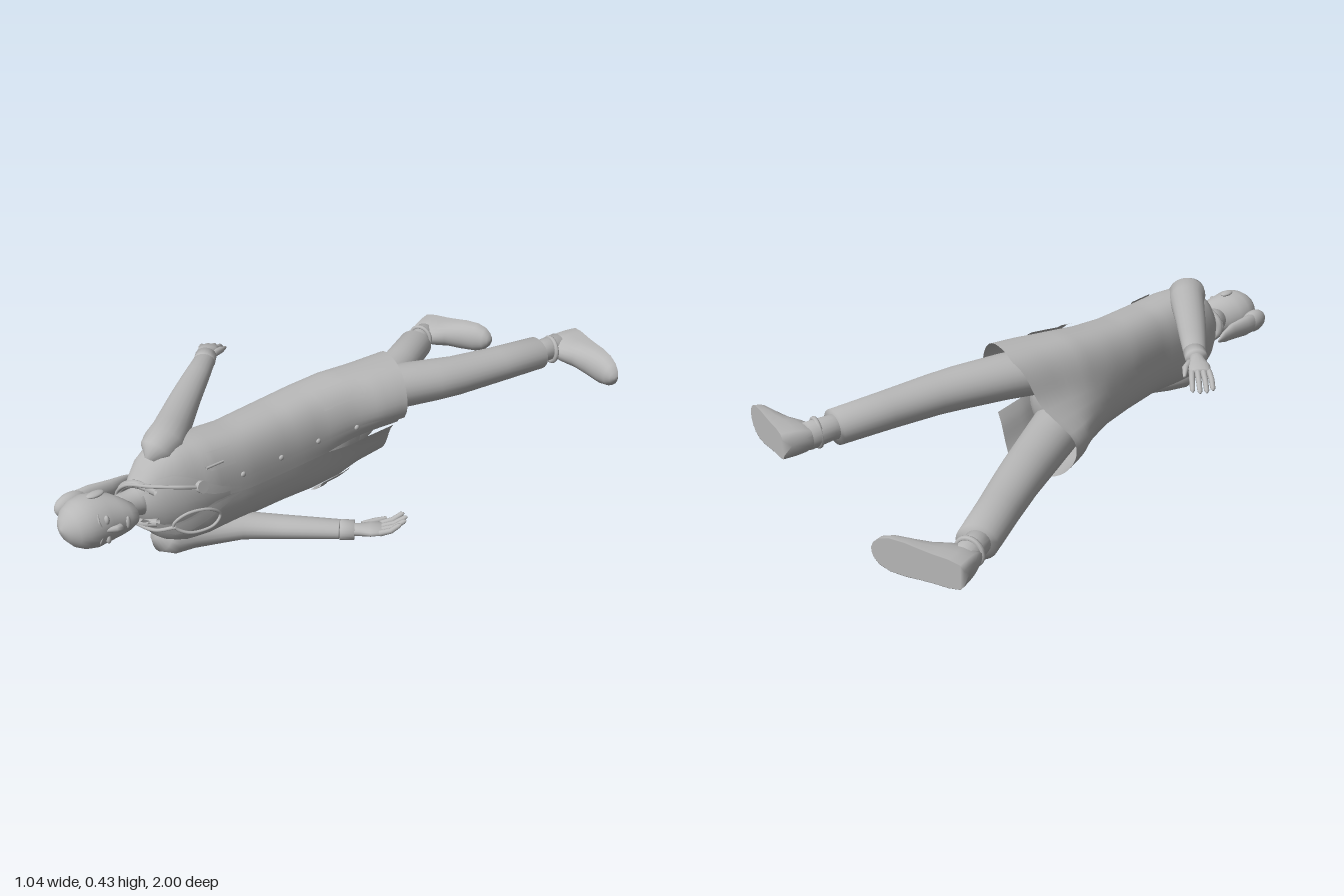
import * as THREE from 'three';

const V = (x, y, z) => new THREE.Vector3(x, y, z);
const plaster = new THREE.MeshStandardMaterial({ color: 0xb8b8b8, side: THREE.DoubleSide });
plaster.name = 'grey plaster';

// Skin a list of equal-length rings; closed rings wrap round, caps fill both ends
function skin(rings, closed = true, caps = true) {
  const n = rings[0].length, pos = [], idx = [];
  rings.forEach(r => r.forEach(p => pos.push(p.x, p.y, p.z)));
  for (let i = 0; i < rings.length - 1; i++)
    for (let j = 0; j < (closed ? n : n - 1); j++) {
      const k = (j + 1) % n, a = i * n + j, b = i * n + k, c = b + n, d = a + n;
      idx.push(a, b, c, a, c, d);
    }
  if (caps) [0, rings.length - 1].forEach((r, end) => {
    const m = V(0, 0, 0);
    rings[r].forEach(p => m.addScaledVector(p, 1 / n));
    const c = pos.length / 3;
    pos.push(m.x, m.y, m.z);
    for (let j = 0; j < n; j++) {
      const a = r * n + j, b = r * n + (j + 1) % n;
      end ? idx.push(c, a, b) : idx.push(c, b, a);
    }
  });
  const g = new THREE.BufferGeometry();
  g.setAttribute('position', new THREE.Float32BufferAttribute(pos, 3));
  g.setIndex(idx);
  g.computeVertexNormals();
  return g;
}

// Tapered limb through points [x, y, z, radius, radius along y]
function limb(pts, sides = 20) {
  const c = pts.map(p => V(p[0], p[1], p[2]));
  return skin(c.map((p, i) => {
    const t = c[Math.min(i + 1, c.length - 1)].clone().sub(c[Math.max(i - 1, 0)]).normalize();
    const u = V(0, 1, 0).addScaledVector(t, -t.y).normalize(), v = t.clone().cross(u);
    const r = pts[i][3], ry = pts[i][4] ?? r;
    return Array.from({ length: sides }, (_, j) => {
      const a = j / sides * Math.PI * 2;
      return p.clone().addScaledVector(u, Math.cos(a) * ry).addScaledVector(v, Math.sin(a) * r);
    });
  }));
}

// Rings stacked along z: [z, centre x, half depth, half width]
const stack = (rows, n = 32) => skin(rows.map(([z, cx, hx, hy]) => Array.from({ length: n }, (_, j) => {
  const a = j / n * Math.PI * 2;
  return V(cx + hx * Math.cos(a), 0.22 + hy * Math.sin(a), z);
})));

// Coat sections: [z, centre x, half depth, half width, stride, front opening angle]
const COAT = [
  [-0.25, 0, 0.145, 0.205, 0.075, 0.12], [-0.12, 0, 0.137, 0.2, 0.055, 0.1], [0, 0.003, 0.13, 0.195, 0.025, 0.07],
  [0.12, 0.005, 0.122, 0.182, 0.005, 0.02], [0.25, 0.005, 0.12, 0.17, 0, 0.01], [0.42, 0.01, 0.115, 0.165, 0, 0.01],
  [0.55, 0.002, 0.113, 0.172, 0, 0.04], [0.64, -0.01, 0.1, 0.172, 0, 0.22], [0.69, -0.025, 0.088, 0.145, 0, 0.4],
  [0.72, -0.03, 0.07, 0.1, 0, 0.5], [0.75, -0.03, 0.05, 0.062, 0, 0.6]];
function coatRow(z) {
  let i = 0;
  while (i < COAT.length - 2 && z > COAT[i + 1][0]) i++;
  const t = (z - COAT[i][0]) / (COAT[i + 1][0] - COAT[i][0]);
  return COAT[i].map((v, k) => v + (COAT[i + 1][k] - v) * t);
}
const pw = v => Math.sign(v) * Math.abs(v) ** 0.8;
function coatPoint(z, a, off = 0) {
  const [, cx, hx, hy, s] = coatRow(z);
  const dy = (hy + off) * pw(Math.sin(a));
  const x = cx + (hx + off) * pw(Math.cos(a)) + s * Math.tanh(dy / 0.06);
  return V(x, 0.22 + dy, z + Math.abs(x) * 0.38 * THREE.MathUtils.smoothstep(0.05 - z, 0, 0.3));
}
// Piece of cloth lying on the coat between two heights and two angles
function cloth(z0, z1, f0, f1, off, nz = 8, na = 8) {
  const rings = [];
  for (let i = 0; i <= nz; i++) {
    const z = z0 + (z1 - z0) * i / nz, a0 = f0(z), a1 = f1(z);
    rings.push(Array.from({ length: na + 1 }, (_, j) => coatPoint(z, a0 + (a1 - a0) * j / na, off)));
  }
  return skin(rings, false, false);
}

export function createModel() {
  const root = new THREE.Group();
  const add = (name, geo, parent = root) => {
    const m = new THREE.Mesh(geo, plaster);
    m.name = name;
    parent.add(m);
    return m;
  };
  const ball = (name, x, y, z, sx, sy, sz) => {
    const m = add(name, new THREE.SphereGeometry(1, 20, 14));
    m.position.set(x, y, z);
    m.scale.set(sx, sy, sz);
    return m;
  };
  const tube = (name, pts, r, closed = false) =>
    add(name, new THREE.TubeGeometry(new THREE.CatmullRomCurve3(pts.map(p => V(...p)), closed), 48, r, 8, closed));

  // Head, neck and hair
  add('head', stack([[0.775, 0.018, 0.014, 0.016], [0.785, 0.015, 0.034, 0.034], [0.81, 0, 0.055, 0.054],
    [0.835, -0.017, 0.068, 0.069], [0.87, -0.03, 0.08, 0.078], [0.91, -0.035, 0.086, 0.083], [0.945, -0.037, 0.079, 0.075],
    [0.97, -0.038, 0.063, 0.06], [0.99, -0.04, 0.037, 0.035], [1, -0.04, 0.008, 0.008]]));
  add('neck', stack([[0.7, -0.03, 0.055, 0.06], [0.745, -0.03, 0.042, 0.044], [0.79, -0.03, 0.041, 0.042], [0.83, -0.03, 0.042, 0.045]]));
  ball('hairBun', -0.145, 0.22, 0.895, 0.033, 0.04, 0.06);
  add('ponytail', limb([[-0.15, 0.22, 0.9, 0.025, 0.035], [-0.15, 0.22, 0.83, 0.022, 0.036], [-0.143, 0.22, 0.76, 0.018, 0.03],
    [-0.15, 0.22, 0.7, 0.011, 0.02], [-0.157, 0.22, 0.66, 0.003, 0.005]]));
  // Face
  add('nose', limb([[0.043, 0.22, 0.9, 0.007], [0.056, 0.22, 0.87, 0.011], [0.058, 0.22, 0.858, 0.012], [0.045, 0.22, 0.85, 0.006]], 10));
  ball('lips', 0.05, 0.22, 0.825, 0.008, 0.021, 0.008);
  for (const s of [-1, 1]) {
    ball('eye', 0.042, 0.22 + s * 0.033, 0.892, 0.01, 0.015, 0.008);
    tube('eyebrow', [[0.046, 0.22 + s * 0.016, 0.912], [0.041, 0.22 + s * 0.034, 0.917], [0.027, 0.22 + s * 0.053, 0.912]], 0.003);
    ball('ear', -0.03, 0.22 + s * 0.083, 0.88, 0.016, 0.008, 0.03);
  }

  // Coat, lapels, pockets and buttons
  const gap = z => coatRow(z)[5];
  add('coat', cloth(-0.25, 0.75, gap, z => 2 * Math.PI - gap(z), 0, 40, 56));
  add('shirt', stack([[0.1, 0, 0.1, 0.15], [0.4, 0.005, 0.1, 0.15], [0.55, 0, 0.1, 0.15], [0.64, -0.012, 0.09, 0.145],
    [0.69, -0.027, 0.078, 0.12], [0.735, -0.03, 0.05, 0.06]]));
  for (const s of [-1, 1]) {
    add('lapel', cloth(0.46, 0.74, z => s * gap(z), z => s * (gap(z) + 0.3 * THREE.MathUtils.smoothstep(z, 0.44, 0.66)), 0.007));
    add('hipPocket', cloth(-0.05, 0.1, () => s * 0.75, () => s * 1.25, 0.006));
    add('pocketFlap', cloth(0.08, 0.11, () => s * 0.72, () => s * 1.28, 0.01));
  }
  add('frontPlacket', cloth(-0.22, 0.5, z => gap(z) - 0.04, z => gap(z) + 0.14, 0.004, 20));
  add('chestPocket', cloth(0.47, 0.56, () => 0.47, () => 0.9, 0.007));
  tube('pen', [[0.107, 0.33, 0.51], [0.107, 0.33, 0.575]], 0.004);
  for (const z of [0.45, 0.3, 0.15, 0]) {
    const p = coatPoint(z, 0.2, 0.005);
    ball('button', p.x, p.y, p.z, 0.006, 0.009, 0.009);
  }
  tube('collar', [[0.04, 0.275, 0.715], [-0.02, 0.287, 0.745], [-0.08, 0.25, 0.755], [-0.09, 0.22, 0.757], [-0.08, 0.19, 0.755],
    [-0.02, 0.153, 0.745], [0.04, 0.165, 0.715]], 0.013);

  // Stethoscope
  tube('stethoscopeTube', [[0.12, 0.285, 0.61], [0.1, 0.3, 0.67], [0.035, 0.297, 0.73], [-0.05, 0.275, 0.762], [-0.095, 0.22, 0.768],
    [-0.05, 0.165, 0.762], [0.035, 0.143, 0.73], [0.09, 0.16, 0.685]], 0.006);
  tube('stethoscopeLoop', [[0.085, 0.165, 0.69], [0.11, 0.205, 0.66], [0.133, 0.205, 0.59], [0.135, 0.17, 0.55],
    [0.132, 0.14, 0.575], [0.11, 0.135, 0.65]], 0.005, true);
  const disc = add('chestPiece', new THREE.CylinderGeometry(0.019, 0.019, 0.016, 20));
  disc.position.set(0.122, 0.285, 0.605);
  disc.rotation.z = Math.PI / 2 + 0.3;

  // Sleeves
  add('backSwingSleeve', limb([[-0.015, 0.345, 0.685, 0.02, 0.03], [-0.018, 0.365, 0.665, 0.055], [-0.03, 0.375, 0.63, 0.066, 0.06],
    [-0.07, 0.382, 0.575, 0.06, 0.052], [-0.21, 0.388, 0.41, 0.05, 0.038], [-0.3, 0.39, 0.3, 0.043, 0.033], [-0.37, 0.39, 0.215, 0.036, 0.028]]));
  add('frontSwingSleeve', limb([[-0.015, 0.095, 0.685, 0.02, 0.03], [-0.014, 0.075, 0.665, 0.055], [-0.008, 0.064, 0.63, 0.066, 0.062],
    [0.012, 0.058, 0.57, 0.06, 0.052], [0.085, 0.053, 0.43, 0.052, 0.042], [0.18, 0.052, 0.335, 0.045, 0.035], [0.31, 0.057, 0.22, 0.036, 0.029]]));

  // Hands: cuff, palm, four fingers and a thumb; sx is the reach along x, lift the finger curl
  function hand(name, wx, wy, wz, sx, rise, lift) {
    const g = new THREE.Group();
    g.name = name;
    root.add(g);
    const k = Math.SQRT1_2;
    const at = (f, w, h) => [wx + sx * k * (f - w), wy + h, wz - k * (f + w)];
    add('cuff', limb([[...at(-0.03, 0, 0), 0.037, 0.031], [...at(0.015, 0, 0), 0.036, 0.03]]), g);
    add('palm', limb([[...at(-0.01, 0, 0), 0.022, 0.02], [...at(0.03, 0, rise * 0.2), 0.025, 0.018],
      [...at(0.065, 0, rise * 0.6), 0.036, 0.017], [...at(0.1, 0, rise), 0.035, 0.013]], 16), g);
    [-0.027, -0.009, 0.009, 0.027].forEach((w, i) => {
      const len = [0.06, 0.075, 0.078, 0.068][i];
      add('finger', limb([[...at(0.095, w, rise), 0.01], [...at(0.1 + len * 0.5, w * 1.15, rise + lift * 0.35), 0.009],
        [...at(0.1 + len * 0.9, w * 1.2, rise + lift * 0.9), 0.008], [...at(0.1 + len, w * 1.2, rise + lift), 0.003]], 10), g);
    });
    add('thumb', limb([[...at(0.04, 0.025, rise * 0.4), 0.012], [...at(0.075, 0.044, rise * 0.6), 0.011],
      [...at(0.115, 0.052, rise + lift * 0.2), 0.005]], 10), g);
  }
  hand('backSwingHand', -0.385, 0.39, 0.2, -1, -0.01, -0.035);
  hand('frontSwingHand', 0.335, 0.058, 0.2, 1, 0.008, 0.04);

  // Trousers
  ball('hips', 0, 0.22, -0.01, 0.11, 0.165, 0.11);
  add('frontTrouserLeg', limb([[0.005, 0.3, 0.06, 0.09, 0.08], [0.03, 0.312, -0.07, 0.09, 0.078], [0.08, 0.317, -0.21, 0.082, 0.074],
    [0.135, 0.315, -0.36, 0.077, 0.069], [0.16, 0.313, -0.44, 0.073, 0.065], [0.195, 0.311, -0.61, 0.067, 0.059], [0.228, 0.31, -0.785, 0.063, 0.055]], 28));
  add('rearTrouserLeg', limb([[-0.01, 0.14, 0.06, 0.09, 0.08], [-0.04, 0.128, -0.07, 0.09, 0.078], [-0.1, 0.125, -0.22, 0.083, 0.075],
    [-0.165, 0.13, -0.37, 0.077, 0.069], [-0.2, 0.132, -0.45, 0.073, 0.065], [-0.275, 0.135, -0.61, 0.067, 0.059], [-0.35, 0.138, -0.77, 0.064, 0.056]], 28));

  // Shoes: flat-soled sections along the foot [x, half width, height]
  const SHOE = [[0, 0.025, 0.08], [0.012, 0.04, 0.12], [0.05, 0.047, 0.13], [0.1, 0.048, 0.118], [0.14, 0.051, 0.088],
    [0.19, 0.056, 0.066], [0.24, 0.055, 0.052], [0.275, 0.043, 0.042], [0.293, 0.025, 0.03], [0.3, 0.008, 0.015]];
  const shoeGeo = skin(SHOE.map(([x, w, h]) => Array.from({ length: 24 }, (_, j) => {
    const a = j / 24 * Math.PI * 2, s = Math.sin(a);
    return V(x, w * Math.cos(a), s > 0 ? h * s ** 0.8 : 0);
  })));
  function foot(name, x, y, z, tilt, turn, ankle) {
    const g = new THREE.Group();
    g.name = name;
    g.position.set(x, y, z);
    g.rotation.set(0, -tilt, turn, 'YZX');
    root.add(g);
    add('shoe', shoeGeo, g);
    const rim = add('shoeRim', new THREE.TorusGeometry(0.042, 0.008, 8, 24), g);
    rim.position.set(0.055, 0, 0.122);
    add('ankle', limb(ankle));
  }
  foot('frontFoot', 0.23, 0.315, -0.975, 0.327, -0.09,
    [[0.22, 0.31, -0.74, 0.04], [0.232, 0.312, -0.8, 0.039], [0.24, 0.313, -0.88, 0.043]]);
  foot('rearFoot', -0.455, 0.14, -0.925, -0.25, 0.03,
    [[-0.34, 0.138, -0.74, 0.04], [-0.365, 0.14, -0.8, 0.039], [-0.385, 0.14, -0.86, 0.043]]);

  return root;
}
